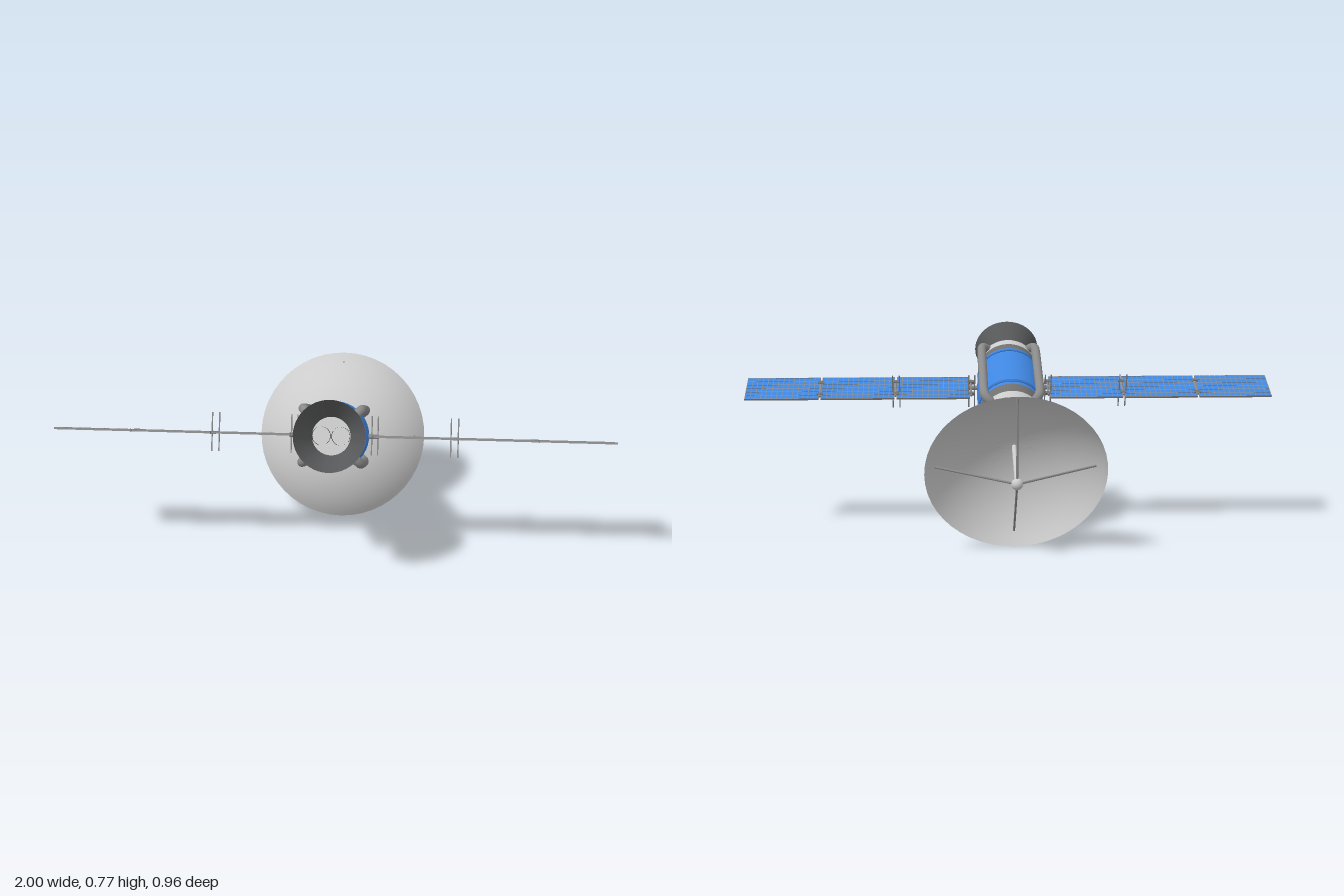
import * as THREE from 'three';
import { mergeGeometries, toCreasedNormals } from 'three/addons/utils/BufferGeometryUtils.js';

const mat = (color, side = THREE.FrontSide) => new THREE.MeshStandardMaterial({ color, side });
const light = mat(0xcccccc);
const lightThin = mat(0xcccccc, THREE.DoubleSide);
const grey = mat(0x8a8a8a);
const dark = mat(0x707070);
const nozzleGrey = mat(0x58595a, THREE.DoubleSide);
const black = mat(0x151515, THREE.DoubleSide);
const blue = mat(0x3f86e0);
const deepBlue = mat(0x3672c4);

export function createModel() {
  const model = new THREE.Group();
  // Everything is built along local z, then pitched up
  const craft = new THREE.Group();
  craft.name = 'satellite';
  craft.rotation.x = -THREE.MathUtils.degToRad(25);
  craft.position.set(0, 0.533, 0.17);
  model.add(craft);

  const add = (name, geometry, material) => {
    const mesh = new THREE.Mesh(geometry, material);
    mesh.name = name;
    craft.add(mesh);
    return mesh;
  };
  // Revolve [z, radius] pairs around the local z axis
  const turn = (name, profile, material, crease = 0.6) => {
    const g = new THREE.LatheGeometry(profile.map(([z, r]) => new THREE.Vector2(r, z)), 48);
    g.rotateX(Math.PI / 2);
    return add(name, toCreasedNormals(g, crease), material);
  };
  // Straight round bar between two points
  const rod = (name, a, b, r, material) => {
    const p = new THREE.Vector3(...a), q = new THREE.Vector3(...b);
    const d = q.clone().sub(p);
    const mesh = add(name, new THREE.CylinderGeometry(r, r, d.length(), 10), material);
    mesh.position.copy(p).add(q).multiplyScalar(0.5);
    mesh.quaternion.setFromUnitVectors(new THREE.Vector3(0, 1, 0), d.normalize());
    return mesh;
  };

  // Barrel hull
  const hullRadius = (z) => 0.124 - 0.5 * (z + 0.027) ** 2;
  const hullSection = (z0, z1, lift = 0) => {
    const points = [];
    for (let i = 0; i <= 8; i++) {
      const z = z0 + (z1 - z0) * i / 8;
      points.push([z, hullRadius(z) + lift]);
    }
    return points;
  };
  turn('hull', hullSection(-0.155, 0.1), blue);
  turn('rearBand', hullSection(-0.195, -0.155), dark);
  turn('frontBand', hullSection(0.1, 0.14), dark);
  for (const z of [0.08, -0.135]) {
    turn('hullStrap', [[z - 0.006, 0.11], ...hullSection(z - 0.006, z + 0.006, 0.002), [z + 0.006, 0.11]], deepBlue);
  }
  turn('frontCollar', [[0.14, 0.11], [0.174, 0.108], [0.174, 0]], light);
  turn('rearCone', [[-0.34, 0], [-0.34, 0.06], [-0.21, 0.109], [-0.195, 0.11]], light);

  // Flared nozzle with two ports inside
  turn('nozzle', [[0.172, 0.066], [0.289, 0.124]], nozzleGrey);
  for (const x of [-0.034, 0.034]) {
    const port = add('port', new THREE.CylinderGeometry(0.032, 0.032, 0.025, 28, 1, true), black);
    port.rotation.x = Math.PI / 2;
    port.position.set(x, 0, 0.186);
  }

  // Four bent handrails around the hull
  for (const sx of [-1, 1]) for (const sy of [-1, 1]) {
    const path = new THREE.CatmullRomCurve3([
      [0.062, 0.058, 0.163], [0.083, 0.076, 0.163], [0.1, 0.092, 0.145], [0.104, 0.095, 0.1],
      [0.104, 0.095, -0.03], [0.104, 0.095, -0.15], [0.1, 0.09, -0.19], [0.083, 0.076, -0.208], [0.06, 0.056, -0.208],
    ].map(([x, y, z]) => new THREE.Vector3(x * sx, y * sy, z)), false, 'catmullrom', 0.4);
    add('handrail', new THREE.TubeGeometry(path, 60, 0.017, 14), grey);
  }

  // Solar wings: three panels per side, with grid lines, hinges and masts
  const panelWidth = 0.148, panelLength = 0.277;
  const bars = [];
  const bar = (w, d, x, z) => bars.push(new THREE.BoxGeometry(w, 0.007, d).translate(x, 0, z));
  for (let i = 0; i <= 14; i++) bar(0.0022, panelWidth, (i / 14 - 0.5) * (panelLength - 0.002), 0);
  for (let i = 0; i <= 6; i++) bar(panelLength, 0.0022, 0, (i / 6 - 0.5) * (panelWidth - 0.002));
  const grid = mergeGeometries(bars);
  const panel = new THREE.BoxGeometry(panelLength, 0.005, panelWidth);
  for (const side of [-1, 1]) {
    for (let i = 0; i < 3; i++) {
      const x = side * (0.291 + i * 0.285 - (i === 2 ? 0.0005 : 0));
      add('solarPanel', panel, blue).position.x = x;
      add('panelGrid', grid, grey).position.x = x;
    }
    rod('wingArm', [side * 0.1, 0, 0], [side * 0.16, 0, 0], 0.009, grey);
    for (const x of [0.147, 0.4335, 0.7185]) {
      for (const z of [-0.04, 0.04]) {
        const hinge = add('hinge', new THREE.BoxGeometry(0.024, 0.01, 0.014), dark);
        hinge.position.set(side * x, 0, z);
      }
      rod('hingePin', [side * x, 0, -0.055], [side * x, 0, 0.055], 0.004, grey);
    }
    for (const x of [0.134, 0.156, 0.418, 0.444]) {
      rod('mast', [side * x, -0.068, -0.027], [side * x, 0.073, -0.027], 0.0025, grey);
    }
  }

  // Dish: a thin spherical cap opening to the rear
  const rimZ = -0.566, rimR = 0.323, capR = 0.392;
  const dishZ = (r) => rimZ + Math.sqrt(capR * capR - r * r) - Math.sqrt(capR * capR - rimR * rimR);
  const dish = [];
  for (let i = 0; i <= 20; i++) {
    const r = rimR * (1 - i / 20);
    dish.push([dishZ(r), r]);
  }
  turn('dish', dish, lightThin, 1);

  // Dish mount
  rod('dishMount', [0, 0, -0.33], [0, 0, dishZ(0)], 0.015, light);
  for (let i = 0; i < 4; i++) {
    const c = Math.cos(i * Math.PI / 2) * 0.059, s = Math.sin(i * Math.PI / 2) * 0.059;
    rod('mountRod', [c, s, -0.335], [c, s, dishZ(0.059)], 0.002, grey);
  }

  // Feed at the focus with its tripod-like struts
  const feed = [0, 0, -0.626];
  add('feed', new THREE.SphereGeometry(0.021, 24, 16), light).position.set(...feed);
  rod('feedRod', feed, [0, 0, dishZ(0)], 0.009, light);
  for (let i = 0; i < 4; i++) {
    const a = i * Math.PI / 2;
    rod('feedStrut', feed, [0.285 * Math.cos(a), 0.285 * Math.sin(a), dishZ(0.285)], 0.004, grey);
  }
  return model;
}
